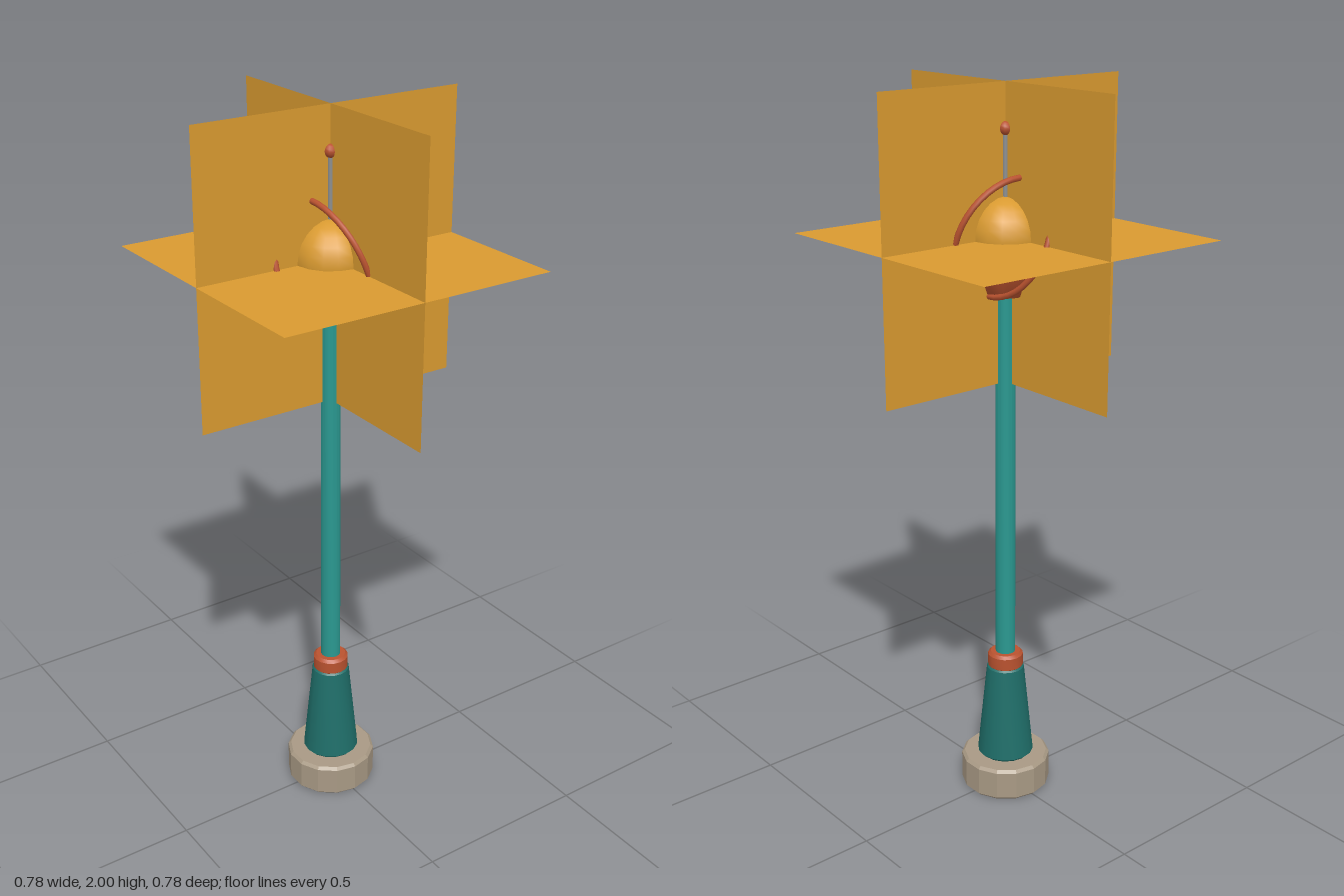
import * as THREE from 'three';
import { toCreasedNormals } from 'three/addons/utils/BufferGeometryUtils.js';

const mat = (name, color, extra = {}) => {
  const m = new THREE.MeshStandardMaterial({ color, ...extra });
  m.name = name;
  return m;
};

export function createModel() {
  const group = new THREE.Group();
  const stone = mat('stone', 0xa89984, { flatShading: true });
  const darkTeal = mat('dark teal', 0x1f6e69);
  const teal = mat('teal', 0x2a9890);
  const copper = mat('copper', 0xb9522f);
  const steel = mat('steel', 0x8c8f90);
  const amber = mat('amber', 0xd99a30);
  const glow = mat('amber glow', 0xd99a30, { side: THREE.DoubleSide });

  const add = (name, geometry, material, y = 0) => {
    const mesh = new THREE.Mesh(geometry, material);
    mesh.name = name;
    mesh.position.y = y;
    group.add(mesh);
    return mesh;
  };

  // Closed turned part with small chamfers at both ends
  const turned = (r0, r1, y0, y1, bevel, sides) => {
    const pts = [[0, y0], [r0 - bevel, y0], [r0, y0 + bevel],
      [r1, y1 - bevel], [r1 - bevel, y1], [0, y1]];
    const g = new THREE.LatheGeometry(pts.map(p => new THREE.Vector2(...p)), sides);
    return toCreasedNormals(g, 0.6);
  };

  // Post, from the ground up
  add('footing', turned(0.127, 0.127, 0, 0.095, 0.008, 14), stone);
  add('taperedBase', turned(0.08, 0.053, 0.095, 0.38, 0.008, 16), darkTeal);
  add('collar', turned(0.05, 0.05, 0.37, 0.42, 0.008, 16), copper);
  add('pole', turned(0.028, 0.026, 0.4, 1.48, 0.002, 16), teal);
  add('lampCup', turned(0.06, 0.083, 1.46, 1.53, 0.005, 16), copper);

  // Lamp globe with finial
  const centre = 1.61;
  add('globe', new THREE.SphereGeometry(0.1, 16, 12), amber, centre + 0.005);
  add('finialRod', new THREE.CylinderGeometry(0.008, 0.008, 0.19, 8), steel, 1.79);
  add('finialBall', new THREE.SphereGeometry(0.018, 8, 8), copper, 1.885);

  // Two tilted rings around the globe
  for (const [i, turn] of [0, Math.PI / 2].entries()) {
    const g = new THREE.TorusGeometry(0.163, 0.008, 8, 40);
    g.rotateX(-0.35).rotateY(turn);
    add(`orbitRing${i + 1}`, g, copper, centre + 0.005);
  }

  // Three crossed glow planes
  for (const [name, rx, ry] of [['glowPlaneFront', 0, 0],
    ['glowPlaneSide', 0, Math.PI / 2], ['glowPlaneLevel', -Math.PI / 2, 0]]) {
    add(name, new THREE.PlaneGeometry(0.78, 0.78), glow, centre).rotation.set(rx, ry, 0);
  }
  return group;
}
